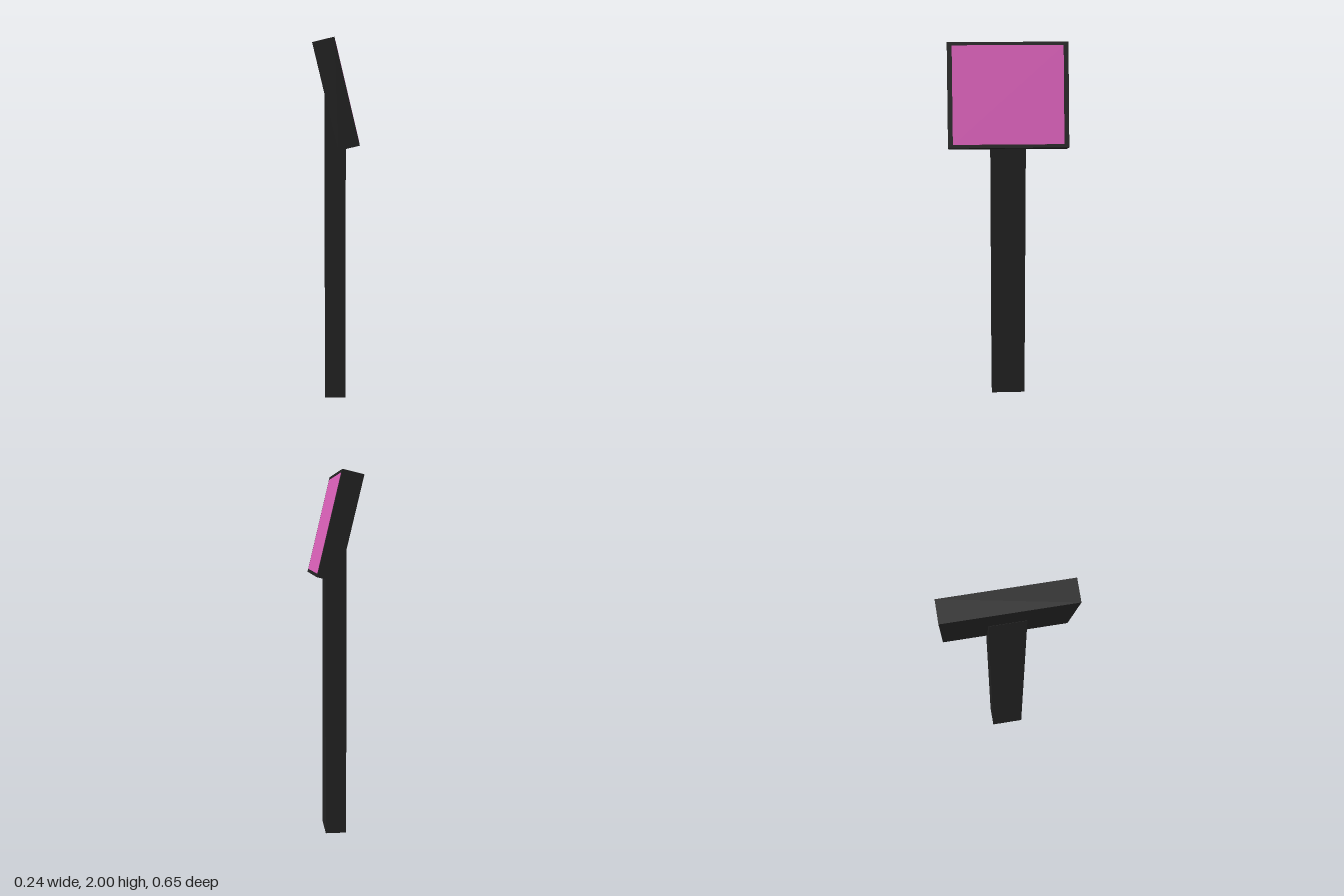
import * as THREE from 'three';

export function createModel() {
  const dark = new THREE.MeshStandardMaterial({ name: 'charcoal', color: 0x222222 });
  const pink = new THREE.MeshStandardMaterial({ name: 'pink', color: 0xd95fb8 });
  const box = (name, material, w, h, d, x, y) => {
    const mesh = new THREE.Mesh(new THREE.BoxGeometry(w, h, d), material);
    mesh.name = name;
    mesh.position.set(x, y, 0);
    return mesh;
  };

  const model = new THREE.Group();
  model.name = 'displayStand';

  // upright post, ending inside the tilted head
  model.add(box('post', dark, 0.115, 1.71, 0.19, -0.002, 0.855));

  // tilted head with its screen on the +x face
  const head = new THREE.Group();
  head.name = 'head';
  head.position.y = 1.715;
  head.rotation.z = THREE.MathUtils.degToRad(13.5);
  head.add(box('housing', dark, 0.115, 0.561, 0.646, 0, 0));
  head.add(box('screen', pink, 0.004, 0.525, 0.594, 0.057, 0));
  model.add(head);

  return model;
}
